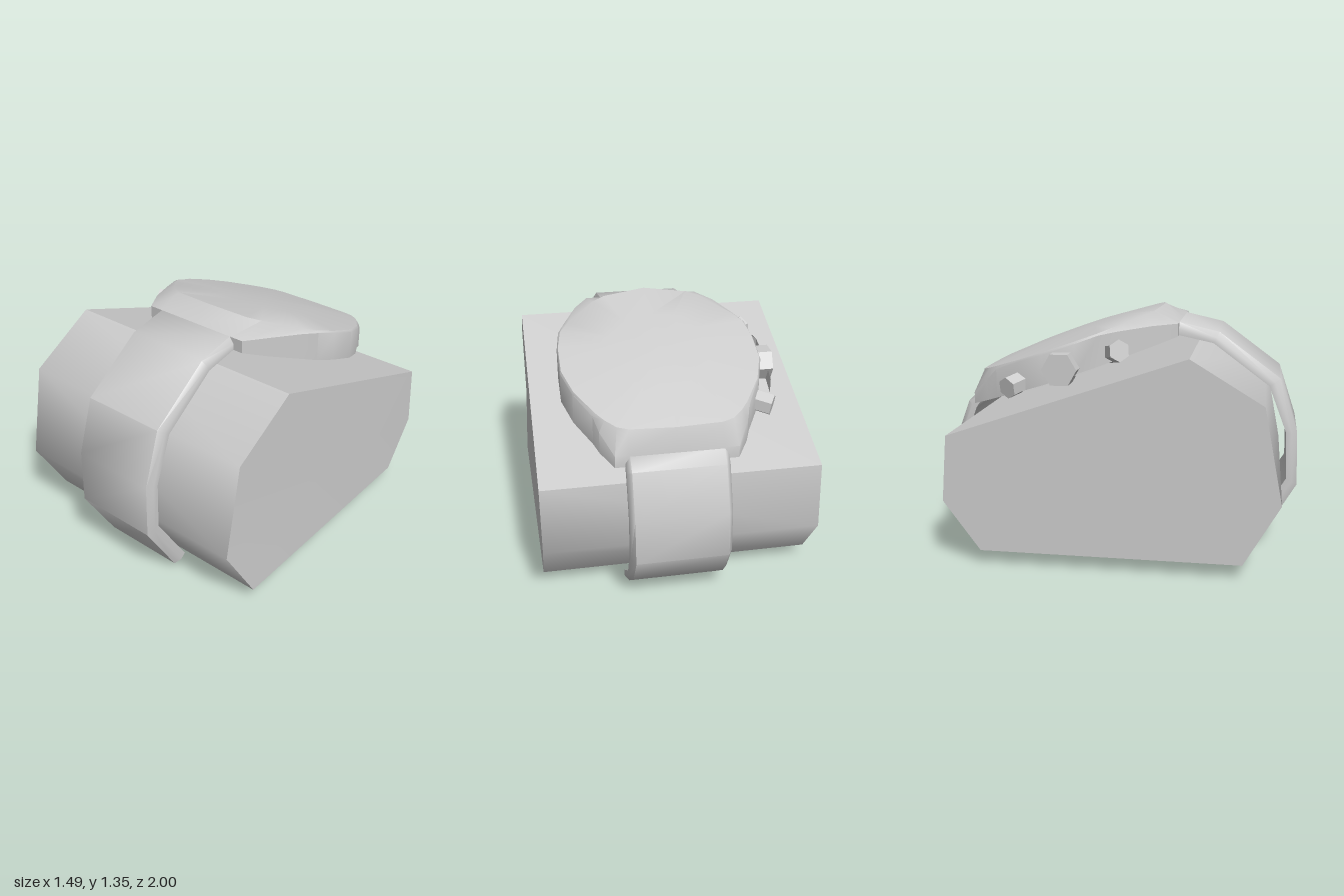
import * as THREE from 'three';
import { toCreasedNormals } from 'three/addons/utils/BufferGeometryUtils.js';

const MID = 0.015; // x of the watch centre line
const deckY = (z) => 1.2 - 0.352 * (0.33 - z); // sloping plane the case sits on

// Skin a list of rings (counterclockwise seen from the far end) and cap both ends
function loft(name, rings, { crease = 0.7, open = false, tip = null } = {}) {
  const pos = [];
  const tri = (...pts) => pts.forEach((p) => pos.push(p.x, p.y, p.z));
  const centre = (r) => r.reduce((s, p) => s.add(p), new THREE.Vector3()).divideScalar(r.length);
  const n = rings[0].length;
  const last = rings[rings.length - 1];
  const c0 = centre(rings[0]);
  const c1 = tip || centre(last);
  for (let j = 0; j < n; j++) {
    const k = (j + 1) % n;
    tri(c0, rings[0][k], rings[0][j]);
    tri(c1, last[j], last[k]);
    if (open && k === 0) continue; // leave the closing side out
    for (let i = 0; i < rings.length - 1; i++) {
      const a = rings[i], b = rings[i + 1];
      tri(a[j], a[k], b[k]);
      tri(a[j], b[k], b[j]);
    }
  }
  const geo = new THREE.BufferGeometry();
  geo.setAttribute('position', new THREE.Float32BufferAttribute(pos, 3));
  const mat = new THREE.MeshStandardMaterial({ color: 0xcccccc, side: open ? THREE.DoubleSide : THREE.FrontSide });
  const mesh = new THREE.Mesh(toCreasedNormals(geo, crease), mat);
  mesh.name = name;
  return mesh;
}

// Hollow cushion, open underneath, with one flared corner
function cushion() {
  const profile = [[-0.68, 0.08], [-0.88, 0.35], [-0.85, 0.71], [0.43, 1.15], [0.81, 0.92], [0.91, 0.41], [0.72, 0.08]];
  const ring = (x, flare) => profile.map(([z, y], i) => new THREE.Vector3(x + (i === 6 ? flare : 0), y, z));
  return loft('cushion', [ring(-0.748, 0), ring(0.722, 0.023)], { crease: 0.85, open: true });
}

// Strap half: stations are [outer z, outer y, inner z, inner y]
function strap(name, stations) {
  const rings = stations.map(([oz, oy, iz, iy]) => {
    const at = (x, t) => new THREE.Vector3(MID + x, iy + (oy - iy) * t, iz + (oz - iz) * t);
    return [at(-0.267, 0), at(0.267, 0), at(0.267, 0.5), at(0.243, 1), at(-0.243, 1), at(-0.267, 0.5)];
  });
  return loft(name, rings, { crease: 0.95 });
}

// Mirror a half outline of [x, z, height] and lay it on the sloping plane
function caseRing(half) {
  const other = half.slice(1, -1).reverse().map(([x, z, h]) => [-x, z, h]);
  return [...half, ...other].map(([x, z, h]) => new THREE.Vector3(MID + x, deckY(z) + h, z));
}

function watchCase() {
  // [x, z, side height]
  const edge = [
    [0, 0.33, 0.07], [0.25, 0.33, 0.07], [0.325, 0.33, 0.07], [0.405, 0.2, 0.11], [0.485, 0.02, 0.15],
    [0.525, -0.07, 0.165], [0.545, -0.2, 0.165], [0.545, -0.37, 0.165], [0.495, -0.52, 0.165],
    [0.41, -0.67, 0.16], [0.385, -0.73, 0.12], [0.32, -0.83, 0.065], [0.25, -0.83, 0.065], [0, -0.83, 0.065],
  ];
  // Rim of the rounded glass
  const rim = [
    [0, 0.23], [0.24, 0.19], [0.31, 0.15], [0.395, 0.06], [0.465, -0.01], [0.515, -0.08], [0.538, -0.2],
    [0.538, -0.37], [0.488, -0.52], [0.395, -0.67], [0.355, -0.72], [0.3, -0.77], [0.24, -0.79], [0, -0.8],
  ].map(([x, z], i) => [x, z, i === 0 ? 0.185 : 0.177]);
  const inner = rim.map(([x, z]) => [x * 0.5, -0.27 + (z + 0.27) * 0.5, 0.203]);
  return loft('watchCase', [
    caseRing(edge.map(([x, z]) => [x, z, 0])),
    caseRing(edge), caseRing(rim), caseRing(inner),
  ], { crease: 0.65, tip: new THREE.Vector3(MID, deckY(-0.27) + 0.21, -0.27) });
}

// Six-sided button whose outer end is centred at (x, z), pointing along (dx, dz)
function button(name, x, z, height, radius, length, dx, dz) {
  const geo = toCreasedNormals(new THREE.CylinderGeometry(radius, radius, length, 6), 0.5);
  const mesh = new THREE.Mesh(geo, new THREE.MeshStandardMaterial({ color: 0xcccccc }));
  const dir = new THREE.Vector3(dx, dz * 0.352, dz).normalize();
  mesh.quaternion.setFromUnitVectors(new THREE.Vector3(0, 1, 0), dir);
  mesh.position.set(x, deckY(z) + height, z).addScaledVector(dir, -length / 2);
  mesh.name = name;
  return mesh;
}

// Shoulder on the case side next to the crown
function crownGuard() {
  const plan = [[-0.45, 0.02], [-0.45, -0.53], [-0.525, -0.48], [-0.58, -0.42], [-0.585, -0.3], [-0.585, -0.2], [-0.58, -0.11], [-0.525, -0.03]];
  const ring = (h, inset) => plan.map(([x, z]) => new THREE.Vector3(x + inset, deckY(z) + h, z)).reverse();
  return loft('crownGuard', [ring(0, 0), ring(0.08, 0), ring(0.13, 0.05)], { crease: 0.5 });
}

export function createModel() {
  const model = new THREE.Group();
  model.name = 'watchOnCushion';
  model.add(
    cushion(),
    strap('frontStrap', [
      [0.33, 1.27, 0.33, 1.2], [0.55, 1.22, 0.52, 1.16], [0.89, 0.97, 0.83, 0.93],
      [0.99, 0.67, 0.93, 0.67], [1.0, 0.37, 0.94, 0.41], [0.81, 0.045, 0.75, 0.095],
    ]),
    strap('backStrap', [
      [-0.73, 0, -0.715, 0.065], [-0.89, 0.13, -0.86, 0.17], [-1.0, 0.31, -0.93, 0.33],
      [-0.98, 0.55, -0.92, 0.54], [-0.89, 0.79, -0.84, 0.755], [-0.82, 0.86, -0.81, 0.8],
    ]),
    watchCase(),
    crownGuard(),
    button('crown', -0.61, -0.265, 0.06, 0.095, 0.12, -1, 0),
    button('backPusher', -0.55, -0.565, 0.05, 0.06, 0.16, -0.88, -0.48),
    button('frontPusher', -0.535, 0.045, 0.05, 0.06, 0.16, -0.85, 0.5),
  );
  return model;
}
